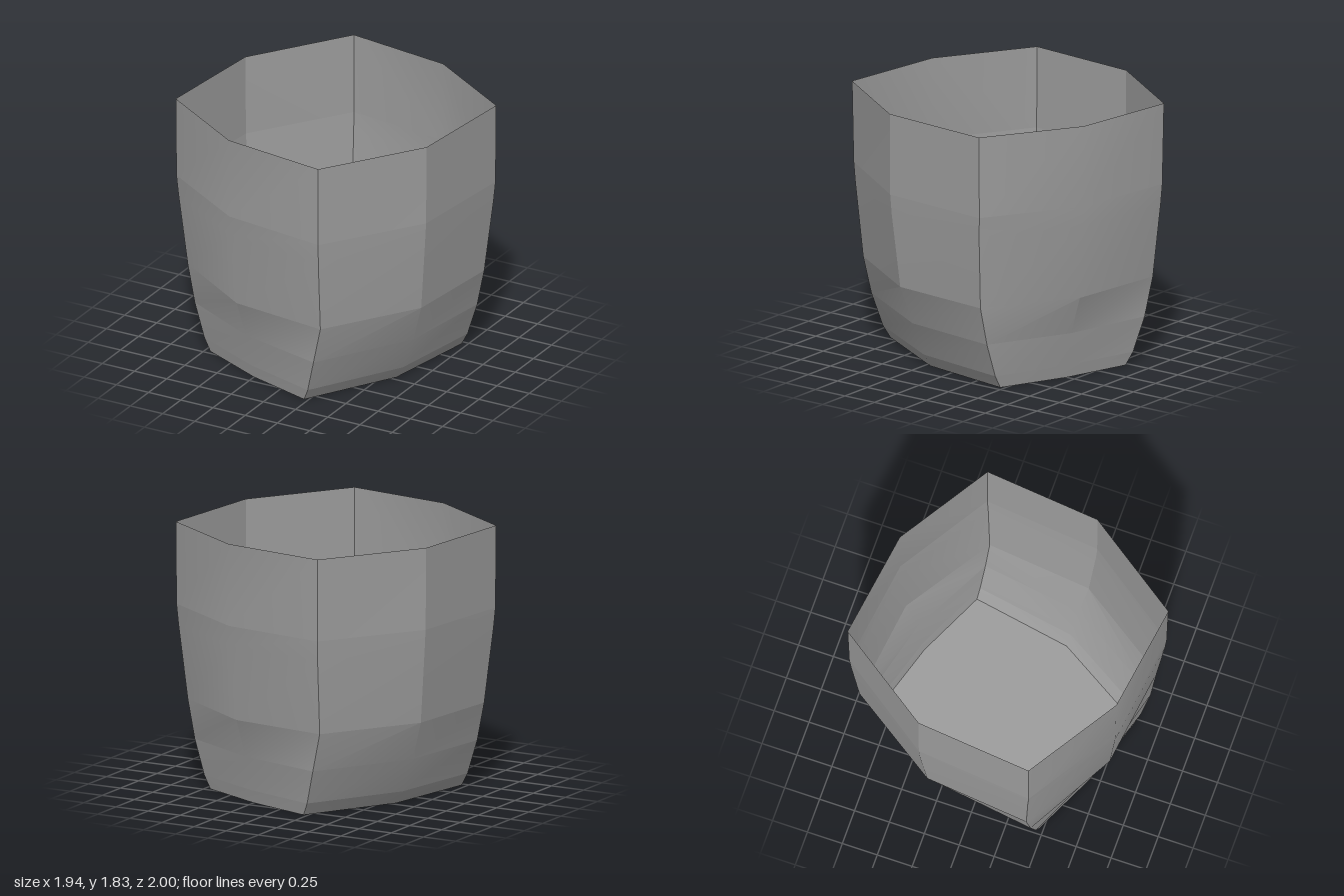
import * as THREE from 'three';
import { toCreasedNormals } from 'three/addons/utils/BufferGeometryUtils.js';

// Half outlines [x, z] per height; the other half is the same turned by 180 degrees
const rings = [
  { y: 0.00, half: [[-0.22, -0.83], [0.25, -0.685], [0.71, -0.47], [0.59, 0.215]] },
  { y: 0.09, half: [[-0.265, -0.86], [0.26, -0.70], [0.76, -0.465], [0.645, 0.225]] },
  { y: 0.33, half: [[-0.335, -0.905], [0.28, -0.745], [0.84, -0.455], [0.74, 0.25]] },
  { y: 0.60, half: [[-0.40, -0.925], [0.30, -0.835], [0.90, -0.445], [0.825, 0.29]] },
  { y: 1.12, half: [[-0.415, -0.98], [0.325, -0.88], [0.955, -0.475], [0.875, 0.325]] },
  { y: 1.26, half: [[-0.42, -0.99], [0.33, -0.885], [0.965, -0.485], [0.885, 0.33]] },
  { y: 1.83, half: [[-0.425, -1.0], [0.33, -0.89], [0.97, -0.485], [0.89, 0.33]] },
];
// Each band is a run of outlines; shading breaks between bands
const bands = [
  { name: 'footBevel', from: 0, to: 1 },
  { name: 'lowerWall', from: 1, to: 2 },
  { name: 'shoulder', from: 2, to: 3 },
  { name: 'middleWall', from: 3, to: 5 },
  { name: 'rimWall', from: 5, to: 6 },
];
const SIDES = 8;
const CREASE = 0.47;

function outlinePoints({ y, half }) {
  return [1, -1].flatMap((sign) => half.flatMap(([x, z]) => [sign * x, y, sign * z]));
}

function buildGeometry(positions, index) {
  const geometry = new THREE.BufferGeometry();
  geometry.setAttribute('position', new THREE.Float32BufferAttribute(positions, 3));
  geometry.setIndex(index);
  geometry.computeVertexNormals();
  return geometry;
}

// Skin of a run of stacked outlines, sharp at its strong corners
function bandGeometry(from, to) {
  const index = [];
  for (let r = 0; r < to - from; r++) {
    for (let i = 0; i < SIDES; i++) {
      const a = r * SIDES + i, b = r * SIDES + ((i + 1) % SIDES);
      index.push(a, a + SIDES, b, b, a + SIDES, b + SIDES);
    }
  }
  const positions = rings.slice(from, to + 1).flatMap(outlinePoints);
  return toCreasedNormals(buildGeometry(positions, index), CREASE);
}

export function createModel() {
  const group = new THREE.Group();
  group.name = 'facetedCup';
  const material = new THREE.MeshStandardMaterial({ color: 0x9c9c9c, side: THREE.DoubleSide });

  // Wall, band by band
  const wall = new THREE.Group();
  wall.name = 'wall';
  for (const { name, from, to } of bands) {
    const band = new THREE.Mesh(bandGeometry(from, to), material);
    band.name = name;
    wall.add(band);
  }
  group.add(wall);

  // Floor: flat fan closing the lowest outline, facing down
  const floorIndex = [];
  for (let i = 1; i < SIDES - 1; i++) floorIndex.push(0, i, i + 1);
  const floor = new THREE.Mesh(buildGeometry(outlinePoints(rings[0]), floorIndex), material);
  floor.name = 'floor';
  group.add(floor);

  return group;
}
